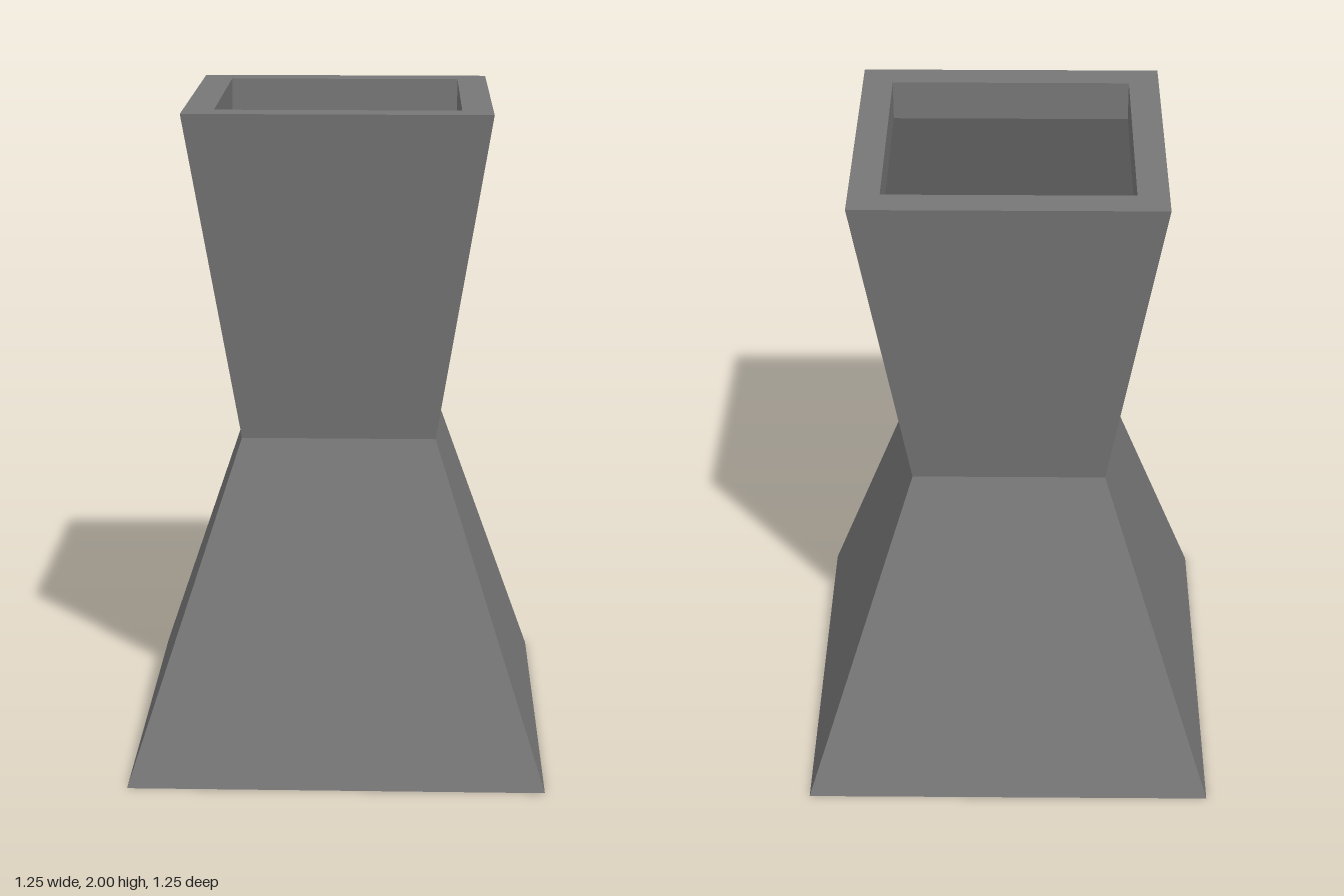
import * as THREE from 'three';

// Sweeps a [halfWidth, y] profile around a square plan.
function squareLathe(profile) {
  const points = profile.map(([half, y]) => new THREE.Vector2(half * Math.SQRT2, y));
  return new THREE.LatheGeometry(points, 4).rotateY(Math.PI / 4);
}

export function createModel() {
  const group = new THREE.Group();
  group.name = 'pedestal';

  const stone = new THREE.MeshStandardMaterial({ color: 0x777777, flatShading: true });
  stone.name = 'grey stone';
  const dark = new THREE.MeshStandardMaterial({ color: 0x535353, flatShading: true });
  dark.name = 'dark grey';

  const base = 0.625, waist = 0.292, top = 0.447, inner = 0.357;
  const floorY = 1.88;

  // Parts, each a profile running up the outside and down the recess
  const parts = [
    ['lowerBody', stone, [[0, 0], [base, 0], [waist, 1]]],
    ['upperBody', stone, [[waist, 1], [top, 2]]],
    ['rim', stone, [[top, 2], [inner, 2]]],
    ['recessWalls', stone, [[inner, 2], [inner, floorY]]],
    ['recessFloor', dark, [[inner, floorY], [0, floorY]]],
  ];
  for (const [name, material, profile] of parts) {
    const mesh = new THREE.Mesh(squareLathe(profile), material);
    mesh.name = name;
    group.add(mesh);
  }
  return group;
}
